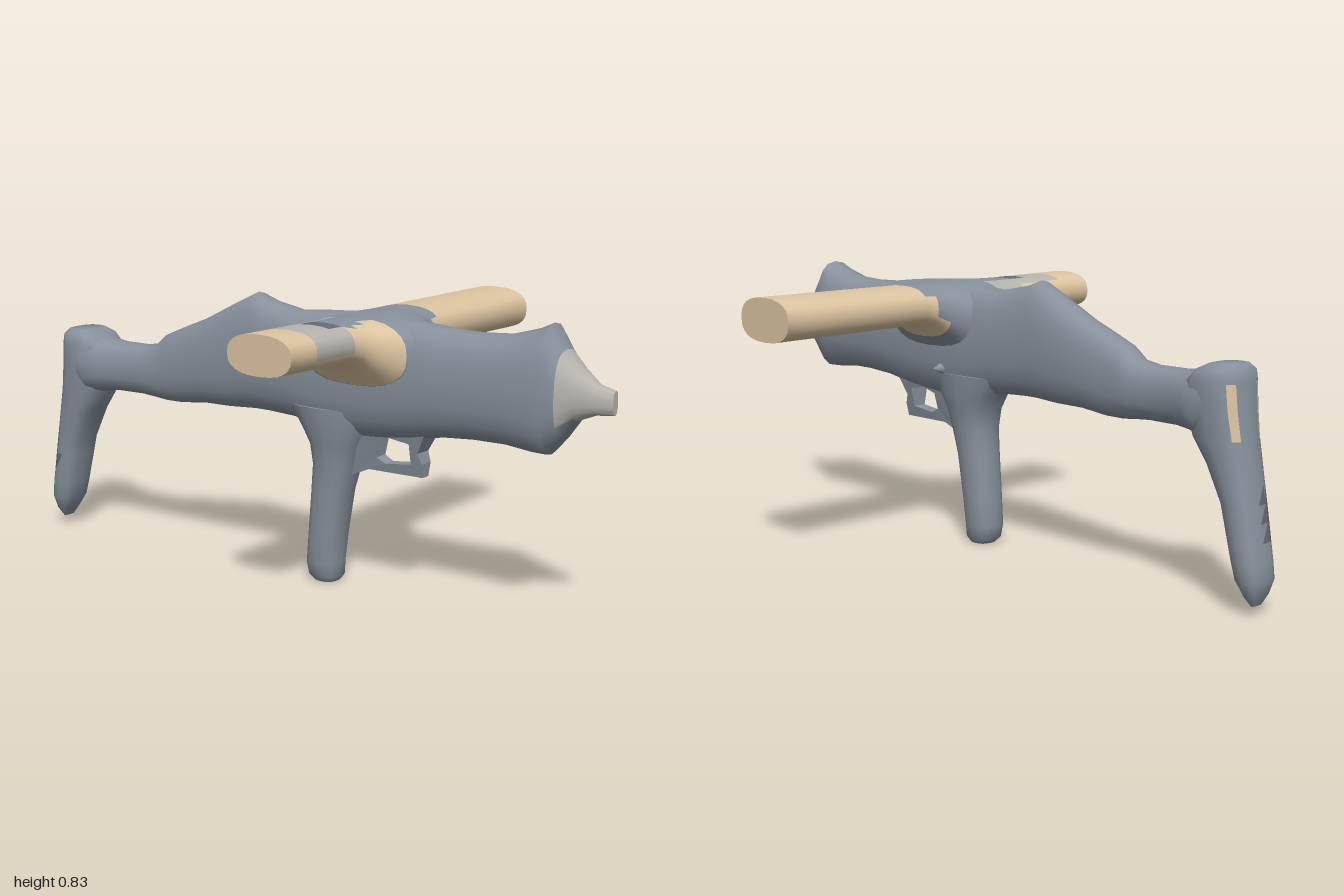
import * as THREE from 'three';
import { toCreasedNormals } from 'three/addons/utils/BufferGeometryUtils.js';

const STEEL = 0x87919c, TAN = 0xdcc4a0, PALE = 0xb6b4ad, DARK = 0x666c72;
const CX = -0.113; // centre line of the body

// Places (u, v, w) so that w runs along the chosen axis
const place = {
  x: (u, v, w) => [w, u, v],
  y: (u, v, w) => [v, w, u],
  z: (u, v, w) => [u, v, w],
};

// Inserts rows so that no two sections are further apart than step
function resample(rows, step) {
  const out = [rows[0]];
  for (let i = 1; i < rows.length; i++) {
    const a = rows[i - 1], b = rows[i];
    const n = Math.max(1, Math.round((b[0] - a[0]) / step));
    for (let k = 1; k <= n; k++) out.push(a.map((q, c) => q + (b[c] - q) * k / n));
  }
  return out;
}

// Skin over rounded sections; rows are [w, u0, u1, v0, v1] with w rising
function loft(axis, rows, sides, power) {
  const pos = [], idx = [], put = place[axis];
  const bend = (t) => Math.sign(t) * Math.abs(t) ** (2 / power);
  for (const [w, u0, u1, v0, v1] of rows) {
    for (let j = 0; j < sides; j++) {
      const a = (j / sides) * Math.PI * 2;
      pos.push(...put((u0 + u1) / 2 + bend(Math.cos(a)) * (u1 - u0) / 2,
        (v0 + v1) / 2 + bend(Math.sin(a)) * (v1 - v0) / 2, w));
    }
  }
  const last = rows.length - 1;
  for (let i = 0; i < last; i++) {
    for (let j = 0; j < sides; j++) {
      const k = (j + 1) % sides, a = i * sides, b = a + sides;
      idx.push(a + j, a + k, b + k, a + j, b + k, b + j);
    }
  }
  // End caps
  for (let j = 1; j < sides - 1; j++) {
    idx.push(0, j + 1, j, last * sides, last * sides + j, last * sides + j + 1);
  }
  const g = new THREE.BufferGeometry();
  g.setAttribute('position', new THREE.Float32BufferAttribute(pos, 3));
  g.setIndex(idx);
  return toCreasedNormals(g, 0.85);
}

// Splits a geometry into one mesh per colour; rule gets the face centre and its upward slope
function paint(name, geo, rule) {
  const part = new THREE.Group();
  part.name = name;
  const p = geo.attributes.position.array, n = geo.attributes.normal.array, bins = new Map();
  for (let f = 0; f < p.length; f += 9) {
    const mid = (arr, c) => (arr[f + c] + arr[f + 3 + c] + arr[f + 6 + c]) / 3;
    const color = rule(mid(p, 0), mid(p, 1), mid(p, 2), mid(n, 1));
    if (!bins.has(color)) bins.set(color, { p: [], n: [] });
    bins.get(color).p.push(...p.slice(f, f + 9));
    bins.get(color).n.push(...n.slice(f, f + 9));
  }
  for (const [color, bin] of bins) {
    const g = new THREE.BufferGeometry();
    g.setAttribute('position', new THREE.Float32BufferAttribute(bin.p, 3));
    g.setAttribute('normal', new THREE.Float32BufferAttribute(bin.n, 3));
    const mesh = new THREE.Mesh(g, new THREE.MeshStandardMaterial({ color }));
    mesh.name = name + 'Surface';
    part.add(mesh);
  }
  return part;
}

export function createModel() {
  const model = new THREE.Group();
  model.name = 'shoulderTool';

  // Body from the rear neck to the nose: [z, bottom, top, half width]
  const body = [
    [-0.86, 0.50, 0.655, 0.08], [-0.8, 0.46, 0.655, 0.088], [-0.75, 0.475, 0.64, 0.08],
    [-0.7, 0.48, 0.635, 0.064], [-0.6, 0.48, 0.635, 0.058], [-0.54, 0.475, 0.645, 0.06],
    [-0.5, 0.47, 0.68, 0.06], [-0.44, 0.47, 0.705, 0.062], [-0.35, 0.48, 0.74, 0.068],
    [-0.25, 0.48, 0.79, 0.07], [-0.155, 0.485, 0.835, 0.072], [-0.1, 0.485, 0.815, 0.074],
    [0, 0.48, 0.795, 0.078], [0.1, 0.455, 0.803, 0.082], [0.2, 0.45, 0.808, 0.087],
    [0.3, 0.455, 0.808, 0.087], [0.4, 0.465, 0.80, 0.086], [0.5, 0.483, 0.788, 0.085],
    [0.6, 0.49, 0.785, 0.085], [0.7, 0.49, 0.79, 0.086], [0.78, 0.48, 0.812, 0.086],
    [0.82, 0.478, 0.83, 0.084], [0.86, 0.525, 0.765, 0.074], [0.9, 0.58, 0.722, 0.056],
    [0.95, 0.60, 0.682, 0.034], [1, 0.605, 0.67, 0.014],
  ].map(([z, b, t, h]) => [z, CX - h, CX + h, b, t]);
  model.add(paint('body', loft('z', body, 20, 2.5),
    (x, y, z) => (z > 0.87 && y > 0.575 ? PALE : STEEL)));

  // Drooping shoulder stock: [y, back z, front z, half width]
  const stock = [
    [0.03, -0.97, -0.958, 0.02], [0.06, -0.985, -0.94, 0.042], [0.1, -0.998, -0.915, 0.056],
    [0.15, -0.99, -0.902, 0.06], [0.3, -0.963, -0.865, 0.064], [0.4, -0.945, -0.815, 0.07],
    [0.47, -0.933, -0.765, 0.076], [0.55, -0.922, -0.74, 0.083], [0.62, -0.915, -0.745, 0.086],
    [0.65, -0.91, -0.775, 0.08], [0.667, -0.895, -0.81, 0.058],
  ].map(([y, b, f, h]) => [y, b, f, CX - h, CX + h]);
  model.add(paint('stock', loft('y', resample(stock, 0.06), 16, 2.8), (x, y, z) => {
    if (z > -0.89 - (0.62 - y) * 0.13) return STEEL;
    if (y > 0.47 && y < 0.62 && Math.abs(x - CX) > 0.03) return TAN;
    return y > 0.2 && y < 0.33 && x < CX - 0.02 ? DARK : STEEL;
  }));

  // Grip: [y, back z, front z, half width]
  const grip = [
    [0.003, 0.06, 0.13, 0.036], [0.02, 0.042, 0.142, 0.048], [0.06, 0.036, 0.142, 0.054],
    [0.15, 0.045, 0.152, 0.058], [0.28, 0.055, 0.175, 0.06], [0.36, 0.06, 0.2, 0.063],
    [0.42, 0.05, 0.22, 0.07], [0.47, 0.02, 0.25, 0.08], [0.53, -0.03, 0.28, 0.082],
  ].map(([y, b, f, h]) => [y, b, f, CX - h, CX + h]);
  model.add(paint('grip', loft('y', grip, 16, 2.6), () => STEEL));

  // Trigger guard, drawn in (z, y) and tapered towards its lower edge
  const points = (list) => list.map(([a, b]) => new THREE.Vector2(a, b));
  const outline = new THREE.Shape(points([[0.43, 0.36], [0.432, 0.4], [0.42, 0.43], [0.45, 0.49],
    [0.16, 0.5], [0.16, 0.3], [0.19, 0.335], [0.25, 0.36]]));
  outline.holes.push(new THREE.Path(points([[0.395, 0.395], [0.395, 0.455], [0.33, 0.465],
    [0.285, 0.45], [0.28, 0.4], [0.31, 0.385]])));
  const guardGeo = new THREE.ExtrudeGeometry(outline, { depth: 1, bevelEnabled: false });
  guardGeo.translate(0, 0, -0.5).rotateY(-Math.PI / 2);
  const gp = guardGeo.attributes.position;
  for (let i = 0; i < gp.count; i++) {
    gp.setX(i, CX + gp.getX(i) * (0.03 + Math.max(0, gp.getY(i) - 0.36) * 0.4));
  }
  guardGeo.computeVertexNormals();
  const guard = new THREE.Mesh(guardGeo, new THREE.MeshStandardMaterial({ color: STEEL }));
  guard.name = 'triggerGuard';
  model.add(guard);

  // Cross bar flaring into the body: [x, bottom, top, back z, front z]
  const bar = [
    [-0.6, 0.695, 0.806, 0.12, 0.33], [-0.32, 0.69, 0.803, 0.118, 0.333],
    [-0.28, 0.678, 0.803, 0.115, 0.34], [-0.24, 0.65, 0.803, 0.1, 0.365],
    [-0.2, 0.615, 0.805, 0.075, 0.42], [-0.16, 0.57, 0.807, 0.05, 0.46],
    [-0.06, 0.57, 0.807, 0.05, 0.46], [-0.025, 0.615, 0.806, 0.075, 0.42],
    [0.01, 0.645, 0.805, 0.1, 0.37], [0.05, 0.674, 0.805, 0.115, 0.352],
    [0.09, 0.685, 0.805, 0.118, 0.346], [0.6, 0.678, 0.805, 0.12, 0.345],
  ];
  model.add(paint('crossBar', loft('x', resample(bar, 0.055), 24, 2.5), (x, y, z, up) => {
    if (x < -0.49 || x > 0.08) return TAN;
    if (up < -0.3) return x > -0.21 && x < 0.02 ? STEEL : TAN;
    if (up > 0.6 && x < -0.32 && x > -0.38 && z > 0.2 && z < 0.28) return DARK;
    if (x < -0.32) return z > 0.15 ? PALE : TAN;
    if (x < -0.2) return up > 0.6 && z < 0.3 ? (z < 0.2 ? PALE : STEEL) : TAN;
    return x > 0.05 && up < 0.6 ? TAN : STEEL;
  }));

  // Small side stud on the left flank
  const stud = new THREE.Mesh(new THREE.ConeGeometry(0.03, 0.06, 8),
    new THREE.MeshStandardMaterial({ color: STEEL }));
  stud.name = 'sideStud';
  stud.rotation.z = -Math.PI / 2;
  stud.position.set(-0.03, 0.545, 0.2);
  model.add(stud);

  return model;
}
